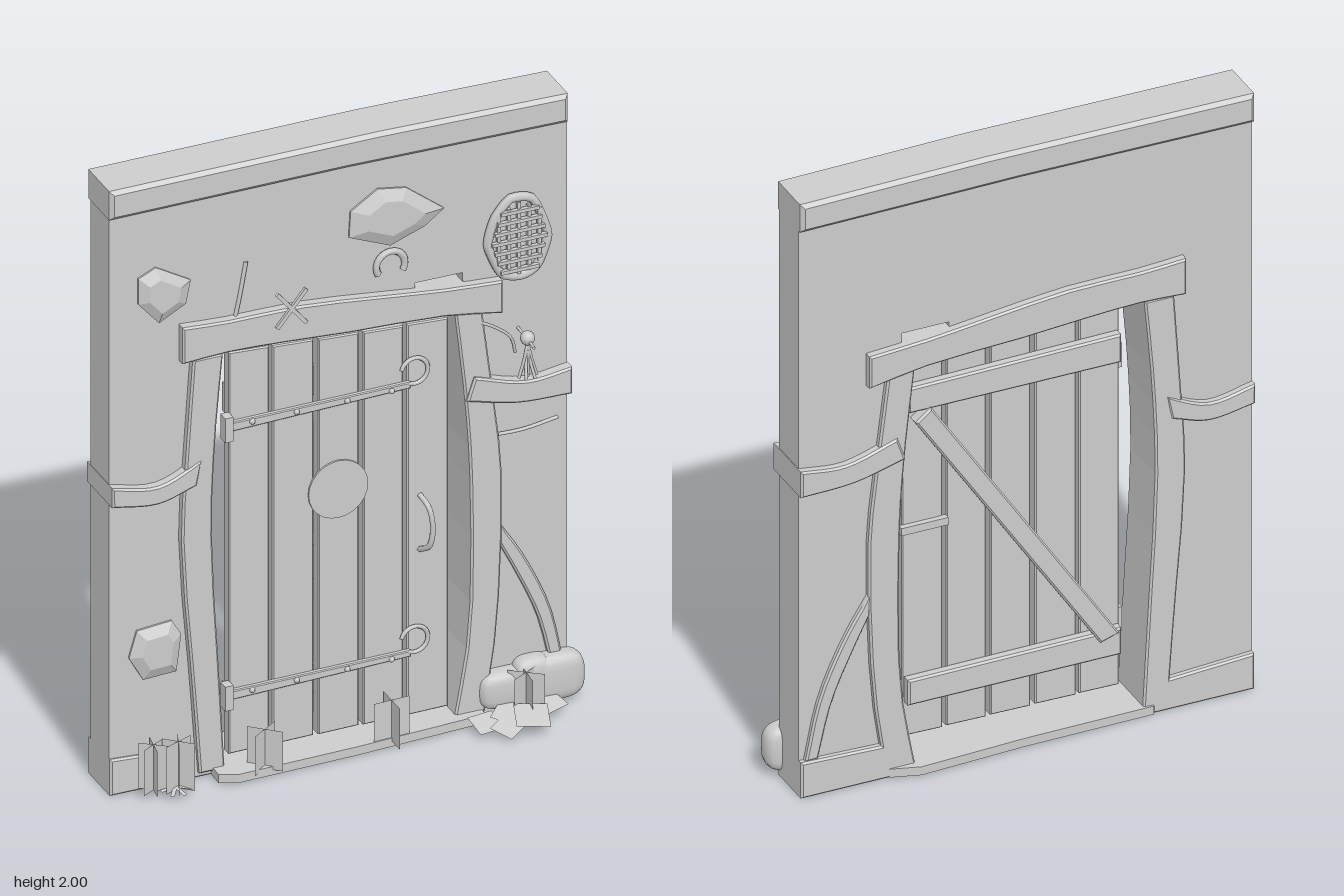
import * as THREE from 'three';
import { ConvexGeometry } from 'three/addons/geometries/ConvexGeometry.js';

const stone = new THREE.MeshStandardMaterial({ color: 0xcccccc, side: THREE.DoubleSide });
stone.name = 'plain grey';

const V = (x, y, z) => new THREE.Vector3(x, y, z);
const shapeOf = pts => new THREE.Shape(pts.map(p => new THREE.Vector2(...p)));

export function createModel() {
  const model = new THREE.Group();
  const add = (name, geo, x = 0, y = 0, z = 0, parent = model) => {
    const m = new THREE.Mesh(geo, stone);
    m.name = name;
    m.position.set(x, y, z);
    parent.add(m);
    return m;
  };
  const box = (name, w, h, d, x, y, z) => add(name, new THREE.BoxGeometry(w, h, d), x, y, z);
  // outline cut from a slab between two depths, with a small chamfer
  const slab = (name, pts, z0, z1, b = 0.006) => {
    const geo = new THREE.ExtrudeGeometry(shapeOf(pts), {
      depth: z1 - z0 - 2 * b, bevelEnabled: b > 0, bevelThickness: b,
      bevelSize: b, bevelOffset: -b, bevelSegments: 1,
    });
    return add(name, geo, 0, 0, z0 + b);
  };
  // beam outline from smooth upper and lower (or left and right) edge curves
  const beam = (name, a, c, z0, z1, n = 10) => {
    const edge = pts => new THREE.CatmullRomCurve3(pts.map(p => V(...p, 0)))
      .getPoints(n).map(p => [p.x, p.y]);
    return slab(name, [...edge(a), ...edge(c).reverse()], z0, z1);
  };
  const tube = (name, pts, r, n = 16) =>
    add(name, new THREE.TubeGeometry(new THREE.CatmullRomCurve3(pts.map(p => V(...p))), n, r, 6));

  // wall with the door opening left free
  slab('wall', [[-0.745, 0], [-0.45, 0], [-0.48, 0.8], [-0.44, 1.43], [0.22, 1.43], [0.22, 1.47],
    [0.37, 1.47], [0.38, 1.3], [0.44, 0.8], [0.4, 0], [0.7, 0], [0.7, 1.92], [-0.745, 1.92]], -0.148, -0.016, 0);
  slab('topBeam', [[-0.748, 1.9], [0, 1.905], [0.7, 1.897], [0.7, 1.99], [0.1, 2], [-0.748, 1.995]], -0.168, 0.002, 0.012);

  // bottom beams either side of the doorway
  slab('leftSill', [[0.38, 0], [0.7, 0], [0.7, 0.12], [0.38, 0.11]], -0.168, -0.006);
  slab('rightSill', [[-0.745, 0], [-0.42, 0], [-0.42, 0.1], [-0.745, 0.12]], -0.168, -0.006);
  const threshold = new THREE.ExtrudeGeometry(shapeOf([[-0.43, -0.05], [-0.38, -0.075], [0, -0.065],
    [0.42, -0.04], [0.42, 0.17], [0.33, 0.197], [0, 0.18], [-0.42, 0.175]]), { depth: 0.028, bevelEnabled: false });
  add('threshold', threshold, 0, 0.003, 0).rotation.x = -Math.PI / 2;

  // crooked door frame
  beam('rightPost', [[-0.47, 0.02], [-0.49, 0.3], [-0.526, 0.8], [-0.51, 1.1], [-0.49, 1.39]],
    [[-0.39, 0.02], [-0.405, 0.3], [-0.43, 0.8], [-0.42, 1.1], [-0.395, 1.39]], -0.168, 0.01);
  beam('leftPost', [[0.335, 0.02], [0.38, 0.3], [0.385, 0.8], [0.37, 1.05], [0.335, 1.37]],
    [[0.43, 0.02], [0.47, 0.3], [0.485, 0.8], [0.46, 1.05], [0.42, 1.37]], -0.168, 0.01);
  beam('lintel', [[-0.525, 1.505], [-0.38, 1.496], [-0.15, 1.494], [0.1, 1.468], [0.3, 1.445], [0.485, 1.432]],
    [[-0.525, 1.385], [-0.38, 1.392], [-0.2, 1.384], [0, 1.37], [0.3, 1.355], [0.485, 1.325]], -0.176, 0.016);

  // sagging side timbers and the curved brace
  beam('rightSideTimber', [[-0.747, 1.025], [-0.6, 1.0], [-0.465, 1.055]],
    [[-0.747, 0.96], [-0.6, 0.94], [-0.48, 0.975]], -0.172, 0.015);
  beam('leftSideTimber', [[0.395, 1.135], [0.56, 1.087], [0.703, 1.1]],
    [[0.37, 1.06], [0.53, 1.02], [0.703, 1.012]], -0.174, 0.02);
  beam('curvedBrace', [[0.48, 0.63], [0.56, 0.5], [0.64, 0.32], [0.685, 0.12]],
    [[0.48, 0.56], [0.53, 0.46], [0.6, 0.3], [0.645, 0.12]], -0.166, 0.002);

  // door planks
  [[-0.368, -0.24, 1.375], [-0.23, -0.1, 1.365], [-0.085, 0.043, 1.355], [0.057, 0.183, 1.345], [0.195, 0.325, 1.34]]
    .forEach(([a, c, top]) => slab('doorPlank',
      [[a, 0.05], [c, 0.052], [c, top - 0.007], [a, top]], -0.052, -0.014, 0.004));

  // bracing on the inner side of the door
  slab('doorRail', [[-0.36, 1.15], [0.32, 1.15], [0.32, 1.235], [-0.36, 1.245]], -0.085, -0.05);
  slab('doorRail', [[-0.36, 0.17], [0.32, 0.17], [0.32, 0.255], [-0.36, 0.26]], -0.085, -0.05);
  slab('doorDiagonal', [[-0.35, 0.25], [-0.29, 0.23], [0.3, 1.12], [0.25, 1.16]], -0.095, -0.05);
  box('innerLatch', 0.15, 0.025, 0.02, 0.26, 0.75, -0.06);

  // hinges with curled ends
  for (const y of [1.135, 0.25]) {
    box('hingePin', 0.026, 0.08, 0.035, -0.378, y, -0.005);
    slab('hingeStrap', [[-0.37, y - 0.015], [0.2, y], [0.2, y + 0.02], [-0.37, y + 0.015]], -0.018, 0, 0.003);
    const curl = add('hingeCurl', new THREE.TorusGeometry(0.042, 0.007, 6, 20, 5), 0.215, y + 0.052, -0.006);
    curl.rotation.z = -2.1;
    for (const x of [-0.3, -0.16, 0.0, 0.14]) add('rivet', new THREE.SphereGeometry(0.009, 8, 6), x, y + 0.005, 0);
  }
  tube('doorHandle', [[0.235, 0.77, -0.015], [0.245, 0.745, 0.03], [0.252, 0.68, 0.04], [0.245, 0.62, 0.03], [0.235, 0.59, -0.015]], 0.009);
  add('doorDisc', new THREE.CylinderGeometry(0.094, 0.094, 0.006, 24), -0.025, 0.85, -0.01).rotation.x = Math.PI / 2;

  // stones set in the plaster
  const inset = pts => {
    const cx = pts.reduce((s, p) => s + p[0], 0) / pts.length, cy = pts.reduce((s, p) => s + p[1], 0) / pts.length;
    const ring = (k, z) => pts.map(([x, y]) => V(cx + (x - cx) * k, cy + (y - cy) * k, z));
    add('wallStone', new ConvexGeometry([...ring(1, -0.03), ...ring(1, -0.01), ...ring(0.6, 0.008)]));
  };
  inset([[-0.655, 1.685], [-0.6, 1.71], [-0.49, 1.645], [-0.505, 1.57], [-0.59, 1.525], [-0.655, 1.6]]);
  inset([[0.015, 1.755], [0.1, 1.81], [0.19, 1.795], [0.31, 1.7], [0.25, 1.655], [0.14, 1.615], [0.01, 1.67]]);
  inset([[-0.66, 0.525], [-0.55, 0.535], [-0.52, 0.485], [-0.535, 0.365], [-0.64, 0.36], [-0.685, 0.44]]);

  // small grated window
  const rim = [[0.515, 1.69], [0.585, 1.675], [0.632, 1.55], [0.6, 1.455], [0.55, 1.43], [0.485, 1.45], [0.443, 1.55], [0.465, 1.635]];
  add('windowFrame', new THREE.TubeGeometry(new THREE.CatmullRomCurve3(rim.map(p => V(...p, 0)), true, 'catmullrom', 0.3), 40, 0.014, 6, true));
  slab('windowPane', rim, -0.02, -0.006, 0);
  for (let i = -2; i <= 2; i++) {
    const x = 0.538 + i * 0.032, h = 0.235 - Math.abs(i) * 0.03;
    box('gratingBar', 0.011, h, 0.012, x, 1.56, 0.006);
  }
  for (let i = -3; i <= 3; i++)
    box('gratingBar', 0.175 - Math.abs(i) * 0.018, 0.011, 0.014, 0.538, 1.555 + i * 0.032, 0.012);

  // crossed sticks, horseshoe, twigs
  for (const a of [0.88, -0.88]) box('crossedStick', 0.145, 0.012, 0.01, -0.185, 1.497, 0.02).rotation.z = a;
  add('horseshoe', new THREE.TorusGeometry(0.045, 0.011, 6, 18, 4.2), 0.14, 1.552, -0.008).rotation.z = -0.53;
  tube('twig', [[-0.35, 1.49, -0.01], [-0.335, 1.56, -0.01], [-0.315, 1.665, -0.012]], 0.006);
  tube('twig', [[0.46, 0.915, -0.012], [0.56, 0.915, -0.01], [0.67, 0.928, -0.014]], 0.006);

  // hanging charm
  tube('charmBranch', [[0.37, 1.325, 0], [0.45, 1.29, 0.01], [0.51, 1.24, 0.01], [0.53, 1.18, 0]], 0.005);
  add('charmHead', new THREE.SphereGeometry(0.022, 12, 8), 0.545, 1.25, 0.053);
  tube('charmPeg', [[0.545, 1.25, -0.015], [0.545, 1.247, 0.05], [0.545, 1.24, 0.1]], 0.005, 4);
  for (let i = 0; i < 5; i++)
    tube('charmStrand', [[0.545, 1.235, 0.053], [0.545 + (i - 2) * 0.006, 1.18, 0.055], [0.545 + (i - 2) * 0.014, 1.125, 0.055 + (i % 2) * 0.02]], 0.005, 6);

  // boulders by the left foot of the wall
  for (const [x, y, z, a, b, c] of [[0.655, 0.09, 0.0, 0.088, 0.075, 0.042], [0.5, 0.085, -0.005, 0.09, 0.06, 0.045], [0.58, 0.1, 0.0, 0.06, 0.07, 0.04]]) {
    const geo = new THREE.SphereGeometry(1, 16, 12), p = geo.attributes.position;
    for (let i = 0; i < p.count; i++) {
      const f = v => Math.sign(v) * Math.pow(Math.abs(v), 0.6);
      p.setXYZ(i, f(p.getX(i)), f(p.getY(i)), f(p.getZ(i)));
    }
    geo.scale(a, b, c);
    geo.computeVertexNormals();
    add('boulder', geo, x, y, z);
  }

  // weeds made of crossed upright leaves
  const weed = (x, z, h, w, turns) => {
    const g = new THREE.Group();
    g.name = 'weed';
    g.position.set(x, 0.02, z);
    for (const t of turns) add('leaf', new THREE.PlaneGeometry(w, h), 0, h / 2, 0, g).rotation.y = t;
    model.add(g);
  };
  weed(-0.63, 0.04, 0.15, 0.09, [0.5, 1.4, 2.5]);
  weed(-0.56, 0.06, 0.155, 0.1, [0.4, 1.2, 2.4]);
  weed(-0.285, 0.055, 0.13, 0.11, [0.6, 2.4]);
  weed(0.115, 0.055, 0.135, 0.115, [0.05, Math.PI / 2]);
  weed(0.54, 0.055, 0.13, 0.11, [0.5, 1.5, 2.5]);

  // leaves lying spread on the ground
  for (const [x, z, s, t, y] of [[0.4, 0.085, 0.08, 0.1, 0.03], [0.45, 0.125, 0.075, 0.6, 0.025], [0.525, 0.13, 0.1, -0.3, 0.05], [0.61, 0.06, 0.08, 0.3, 0.04], [0.48, 0.075, 0.09, 0.8, 0.04]]) {
    const leaf = add('groundLeaf', new THREE.PlaneGeometry(s, s), x, y, z);
    leaf.rotation.set(-Math.PI / 2 + 0.25, 0, t);
  }
  for (let i = 0; i < 4; i++) {
    const leaf = add('groundLeaf', new THREE.PlaneGeometry(0.1, 0.012), -0.57, 0.03, 0.06);
    leaf.rotation.set(-Math.PI / 2 + 0.2, 0, i * 0.8 + 0.2);
  }
  return model;
}
